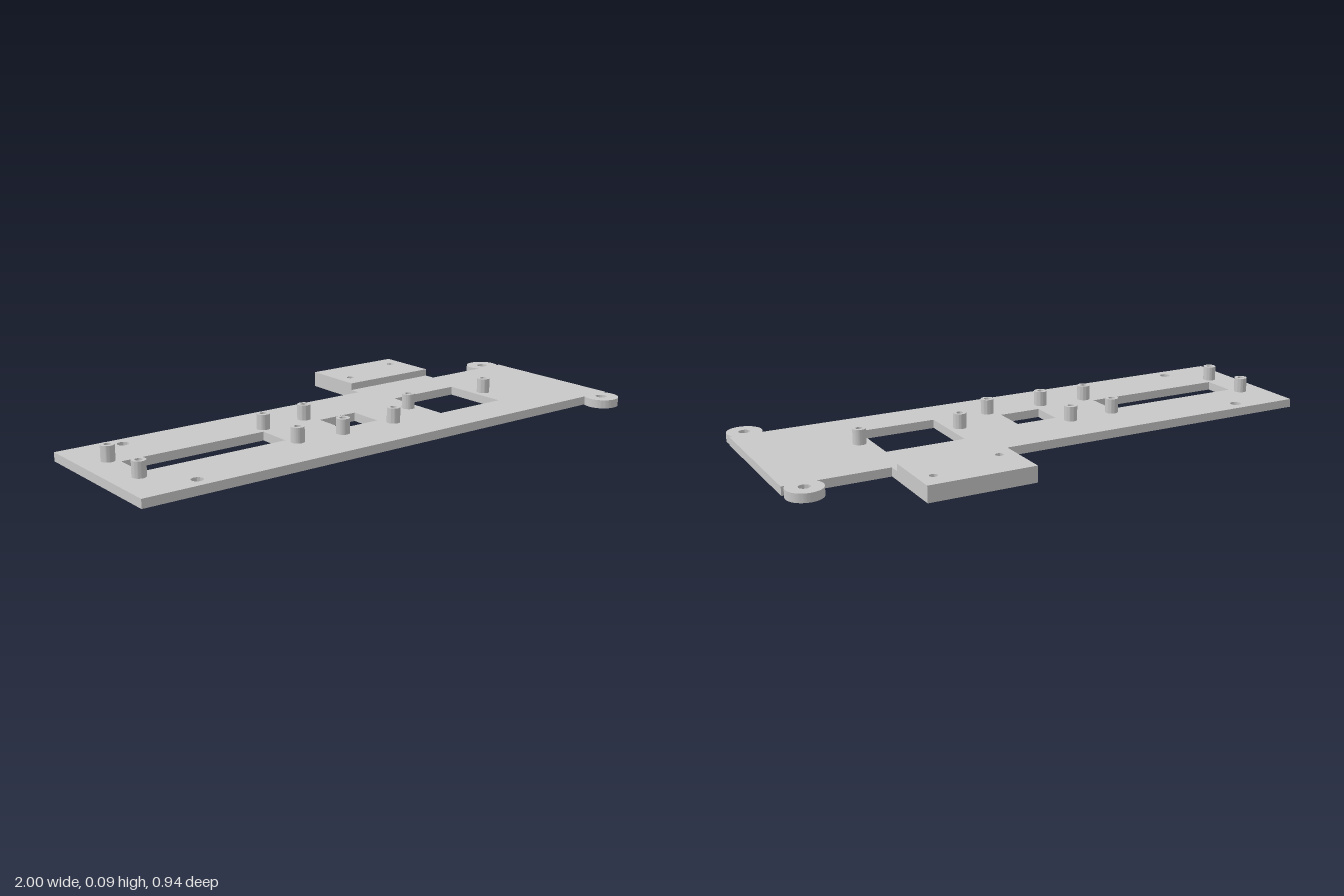
import * as THREE from 'three';
import { toCreasedNormals } from 'three/addons/utils/BufferGeometryUtils.js';

// Plan coordinates are (x, z); shapes are drawn in (x, -z) and laid flat.
const T = 0.031;

function roundHole(x, z, r) {
  return new THREE.Path().absarc(x, -z, r, 0, Math.PI * 2, true);
}

function rectPath(PathType, x0, x1, z0, z1) {
  const p = new PathType();
  p.moveTo(x0, -z1);
  p.lineTo(x1, -z1);
  p.lineTo(x1, -z0);
  p.lineTo(x0, -z0);
  p.closePath();
  return p;
}

function slab(name, shape, y0, y1, material) {
  const g = new THREE.ExtrudeGeometry(shape, { depth: y1 - y0, bevelEnabled: false, curveSegments: 24 });
  g.rotateX(-Math.PI / 2);
  g.translate(0, y0, 0);
  const mesh = new THREE.Mesh(toCreasedNormals(g, 0.6), material);
  mesh.name = name;
  return mesh;
}

export function createModel() {
  const group = new THREE.Group();
  group.name = 'mountingPlate';
  const grey = new THREE.MeshStandardMaterial({ color: 0xc8c8c8 });
  grey.name = 'plain grey';

  const pegs = [
    [-0.904, -0.01], [-0.904, 0.19], [-0.313, -0.01], [-0.313, 0.19],
    [-0.132, -0.022], [-0.132, 0.201], [0.091, 0.201],
    [0.256, 0.089], [0.632, 0.089],
  ];
  const boreR = 0.012;

  // Base plate outline with two round ears and a neck to the raised block
  const back = -0.195, front = 0.374, earX = 0.9365, earR = 0.0625, earOut = 0.035;
  const a = Math.asin(earOut / earR);
  const base = new THREE.Shape();
  base.moveTo(-1, -back);
  base.lineTo(-1, -front);
  base.lineTo(earX - earR * Math.cos(a), -front);
  base.absarc(earX, -front - earOut, earR, Math.PI - a, Math.PI * 2 + a, false);
  base.lineTo(1, -front);
  base.lineTo(1, -back);
  base.lineTo(earX + earR * Math.cos(a), -back);
  base.absarc(earX, -back + earOut, earR, -a, Math.PI + a, false);
  base.lineTo(0.633, -back);
  base.lineTo(0.633, 0.238);
  base.lineTo(0.252, 0.238);
  base.lineTo(0.252, -back);
  base.closePath();

  // Windows, screw holes and peg bores
  base.holes.push(
    rectPath(THREE.Path, -0.876, -0.336, 0.024, 0.152),
    rectPath(THREE.Path, -0.096, 0.059, 0.024, 0.152),
    rectPath(THREE.Path, 0.3, 0.589, -0.04, 0.216),
    roundHole(-0.78, -0.143, 0.02),
    roundHole(-0.78, 0.321, 0.02),
    roundHole(earX, front + earOut, 0.02),
    roundHole(earX, back - earOut, 0.02),
    ...pegs.map(([x, z]) => roundHole(x, z, boreR)),
  );
  group.add(slab('basePlate', base, 0, T, grey));

  // Raised block behind the plate
  const block = rectPath(THREE.Shape, 0.252, 0.633, -0.471, -0.238);
  block.holes.push(roundHole(0.308, -0.316, 0.014), roundHole(0.578, -0.396, 0.014));
  group.add(slab('raisedBlock', block, 0, 0.057, grey));

  // Hollow standoff pegs
  for (const [x, z] of pegs) {
    const ring = new THREE.Shape().absarc(x, -z, 0.0235, 0, Math.PI * 2, false);
    ring.holes.push(roundHole(x, z, boreR));
    group.add(slab('standoffPeg', ring, T, 0.085, grey));
  }
  return group;
}
